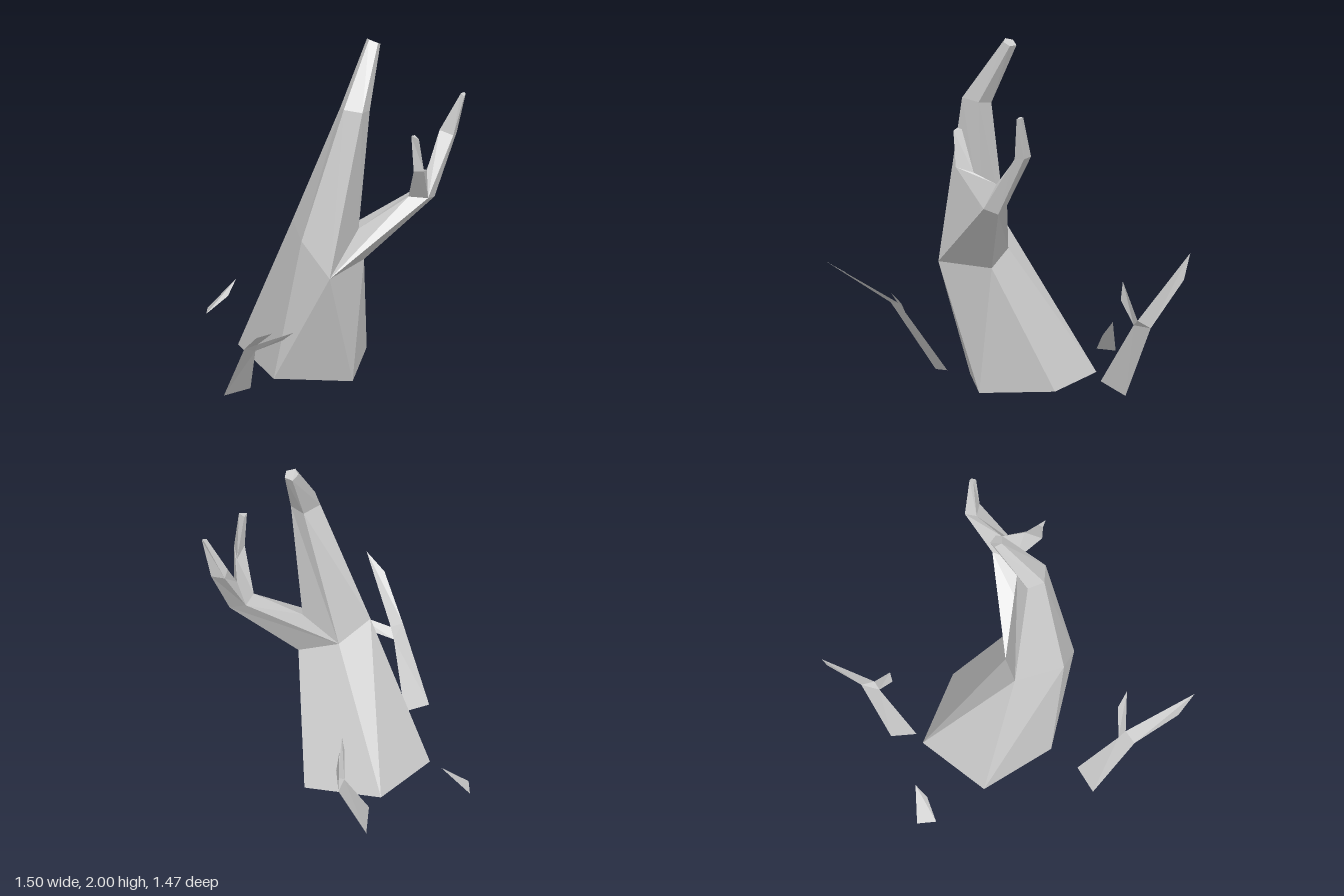
import * as THREE from 'three';

const material = new THREE.MeshStandardMaterial({
  color: 0xcccccc, flatShading: true, side: THREE.DoubleSide,
});

// Flat-shaded mesh from a list of triangles, each three [x, y, z] corners
function facets(name, triangles) {
  const geometry = new THREE.BufferGeometry();
  geometry.setAttribute('position', new THREE.Float32BufferAttribute(triangles.flat(2), 3));
  geometry.computeVertexNormals();
  const mesh = new THREE.Mesh(geometry, material);
  mesh.name = name;
  return mesh;
}

// Skin a run of matching cross-sections, optionally closing the last one
function loft(rings, capEnd = true) {
  const triangles = [];
  for (let r = 0; r + 1 < rings.length; r++) {
    const low = rings[r], high = rings[r + 1], n = low.length;
    for (let i = 0; i < n; i++) {
      const j = (i + 1) % n;
      triangles.push([low[i], low[j], high[i]], [low[j], high[j], high[i]]);
    }
  }
  if (capEnd) {
    const end = rings[rings.length - 1];
    for (let i = 1; i + 1 < end.length; i++) triangles.push([end[0], end[i], end[i + 1]]);
  }
  return triangles;
}

// Flat forked twig: stem, short branch (points 2-5) and long branch (points 5-8)
function twig(name, p) {
  const faces = [[0, 1, 2], [0, 2, 8], [8, 2, 5], [2, 3, 4], [2, 4, 5], [8, 5, 6], [8, 6, 7]];
  return facets(name, faces.map((f) => f.map((i) => p[i])));
}

export function createModel() {
  const model = new THREE.Group();
  model.name = 'deadTree';

  // Trunk, open underneath
  const base = [
    [-0.28, 0.09, 0.10], [0.10, 0.05, 0.30], [0.40, 0.07, 0.01],
    [0.21, 0.12, -0.39], [-0.21, 0.12, -0.33],
  ];
  const neck = [
    [-0.13, 0.75, 0.41], [0.19, 0.74, 0.28], [0.07, 0.82, 0.09],
    [-0.09, 0.95, 0.01], [-0.21, 0.94, 0.26],
  ];
  model.add(facets('trunk', loft([base, neck], false)));

  // Main limb, parting from the side limb at the saddle
  const [front, right, back, rear, left] = neck;
  const saddle = [0.14, 0.94, 0.30];
  const bend = [
    [0.02, 1.68, 0.33], [0.09, 1.67, 0.405], [0.175, 1.65, 0.355],
    [0.165, 1.64, 0.265], [0.06, 1.66, 0.245],
  ];
  const top = [
    [0.255, 2.0, 0.235], [0.29, 1.985, 0.27], [0.32, 1.965, 0.25],
    [0.31, 1.965, 0.20], [0.27, 1.99, 0.195],
  ];
  model.add(facets('mainLimb', loft([[left, front, saddle, back, rear], bend, top])));

  // Side limb up to the fork
  const fork = [[0.45, 1.115, 0.51], [0.525, 1.09, 0.465], [0.485, 1.13, 0.38], [0.37, 1.12, 0.44]];
  const crotch = [0.485, 1.25, 0.45];
  model.add(facets('sideLimb', [
    ...loft([[front, right, back, saddle], fork], false),
    [fork[2], fork[3], crotch],
  ]));

  // Short inner branch
  model.add(facets('innerBranch', loft([
    [fork[3], fork[0], crotch],
    [[0.305, 1.335, 0.58], [0.345, 1.34, 0.62], [0.40, 1.31, 0.54]],
    [[0.293, 1.545, 0.575], [0.315, 1.535, 0.615], [0.322, 1.54, 0.565]],
  ])));

  // Long outer branch
  model.add(facets('outerBranch', loft([
    [fork[0], fork[1], fork[2], crotch],
    [[0.66, 1.41, 0.45], [0.705, 1.41, 0.42], [0.67, 1.415, 0.35], [0.615, 1.43, 0.385]],
    [[0.715, 1.635, 0.475], [0.735, 1.64, 0.46], [0.735, 1.645, 0.445], [0.71, 1.645, 0.45]],
  ])));

  // Loose twigs around the trunk
  model.add(twig('frontTwig', [
    [-0.61, 0.075, 0.10], [-0.455, 0.09, 0.13], [-0.565, 0.41, 0.33],
    [-0.455, 0.48, 0.43], [-0.44, 0.55, 0.51], [-0.58, 0.465, 0.37],
    [-0.74, 0.70, 0.73], [-0.75, 0.63, 0.60], [-0.66, 0.455, 0.36],
  ]));
  model.add(twig('rearTwig', [
    [0.385, 0.005, -0.46], [0.28, 0.08, -0.37], [0.515, 0.41, -0.425],
    [0.465, 0.545, -0.375], [0.485, 0.65, -0.375], [0.56, 0.44, -0.42],
    [0.75, 0.815, -0.635], [0.74, 0.67, -0.60], [0.605, 0.40, -0.475],
  ]));

  // Folded sliver behind the trunk
  const [a, b, c, d] = [
    [-0.12, 0.165, -0.74], [-0.185, 0.175, -0.66], [-0.07, 0.265, -0.62], [0, 0.345, -0.64],
  ];
  model.add(facets('rearSliver', [[a, b, d], [b, c, d]]));

  return model;
}
